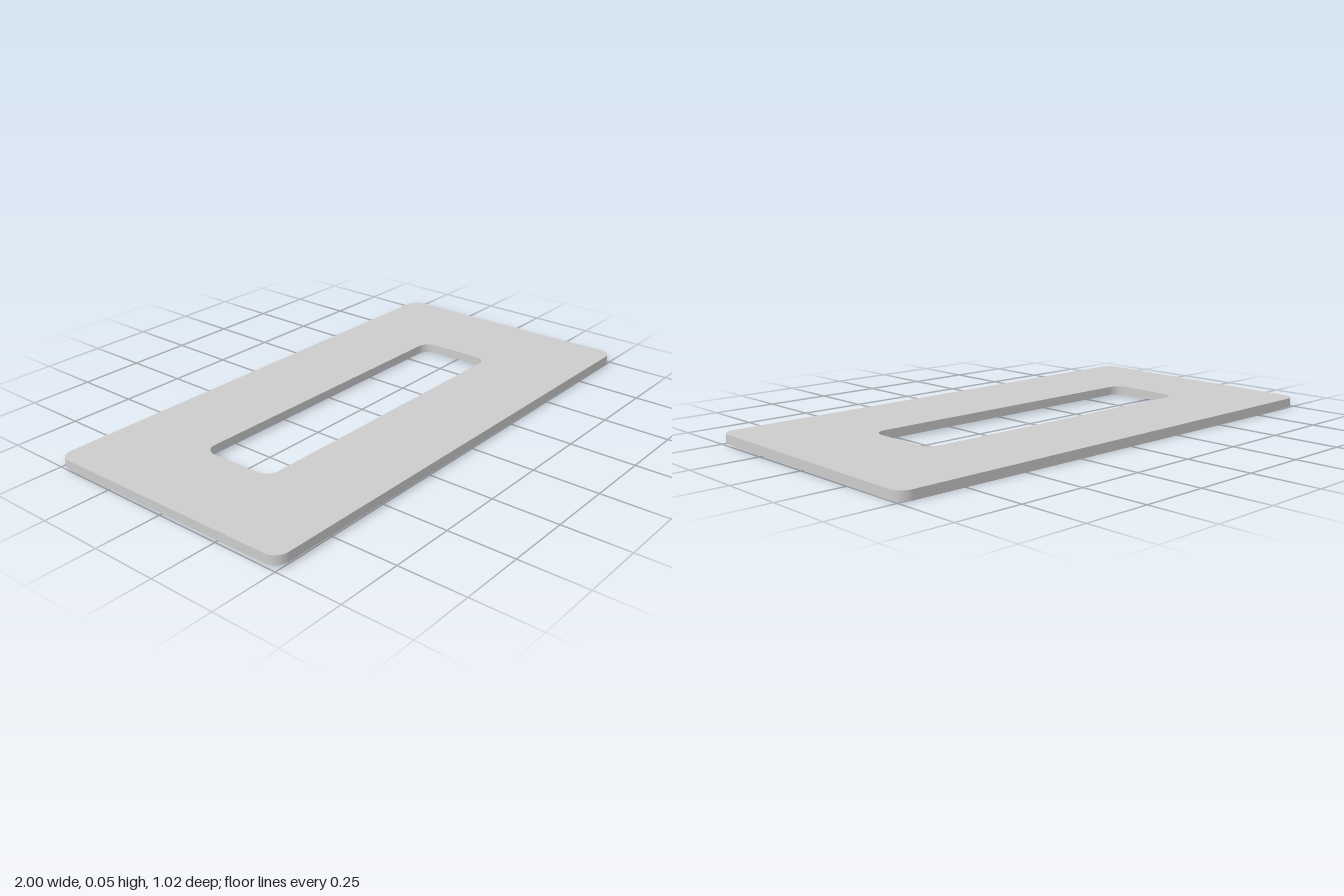
import * as THREE from 'three';

const THICKNESS = 0.034;

// Trace a rounded rectangle onto a Shape or Path
function roundedRect(path, x0, y0, x1, y1, r) {
  path.moveTo(x0 + r, y0);
  path.lineTo(x1 - r, y0);
  path.absarc(x1 - r, y0 + r, r, -Math.PI / 2, 0);
  path.lineTo(x1, y1 - r);
  path.absarc(x1 - r, y1 - r, r, 0, Math.PI / 2);
  path.lineTo(x0 + r, y1);
  path.absarc(x0 + r, y1 - r, r, Math.PI / 2, Math.PI);
  path.lineTo(x0, y0 + r);
  path.absarc(x0 + r, y0 + r, r, Math.PI, Math.PI * 1.5);
  return path;
}

// Upright wall following a closed row of points
function wallGeometry(points) {
  const geometry = new THREE.PlaneGeometry(1, 1, points.length - 1, 1);
  const position = geometry.attributes.position;
  for (let i = 0; i < position.count; i++) {
    const p = points[i % points.length];
    position.setXYZ(i, p.x, p.y, i < points.length ? THICKNESS : 0);
  }
  geometry.computeVertexNormals();
  return geometry;
}

export function createModel() {
  const group = new THREE.Group();
  const material = new THREE.MeshStandardMaterial({ color: 0xcccccc, side: THREE.DoubleSide });

  const outline = roundedRect(new THREE.Shape(), -1, -0.507, 1, 0.507, 0.05);
  const slot = roundedRect(new THREE.Path(), -0.659, -0.145, 0.615, 0.156, 0.05);
  outline.holes.push(slot);

  // Top sheet with an off-centre slot, outer rim and slot rim; open underneath
  const parts = {
    topSheet: new THREE.ShapeGeometry(outline, 10).translate(0, 0, THICKNESS),
    outerRim: wallGeometry(outline.getPoints(10)),
    slotRim: wallGeometry(slot.getPoints(10).reverse()),
  };

  // The plate lies very slightly tilted: higher at the front and at -x
  const bounds = new THREE.Box3();
  for (const [name, geometry] of Object.entries(parts)) {
    geometry.rotateX(-Math.PI / 2 - 0.0078);
    geometry.rotateZ(-0.0026);
    geometry.rotateY(0.001);
    geometry.computeBoundingBox();
    bounds.union(geometry.boundingBox);
    const mesh = new THREE.Mesh(geometry, material);
    mesh.name = name;
    group.add(mesh);
  }

  // Rest the lowest corner on the ground and centre the plate
  const centre = bounds.getCenter(new THREE.Vector3());
  for (const geometry of Object.values(parts)) {
    geometry.translate(-centre.x, -bounds.min.y, -centre.z);
  }
  return group;
}
